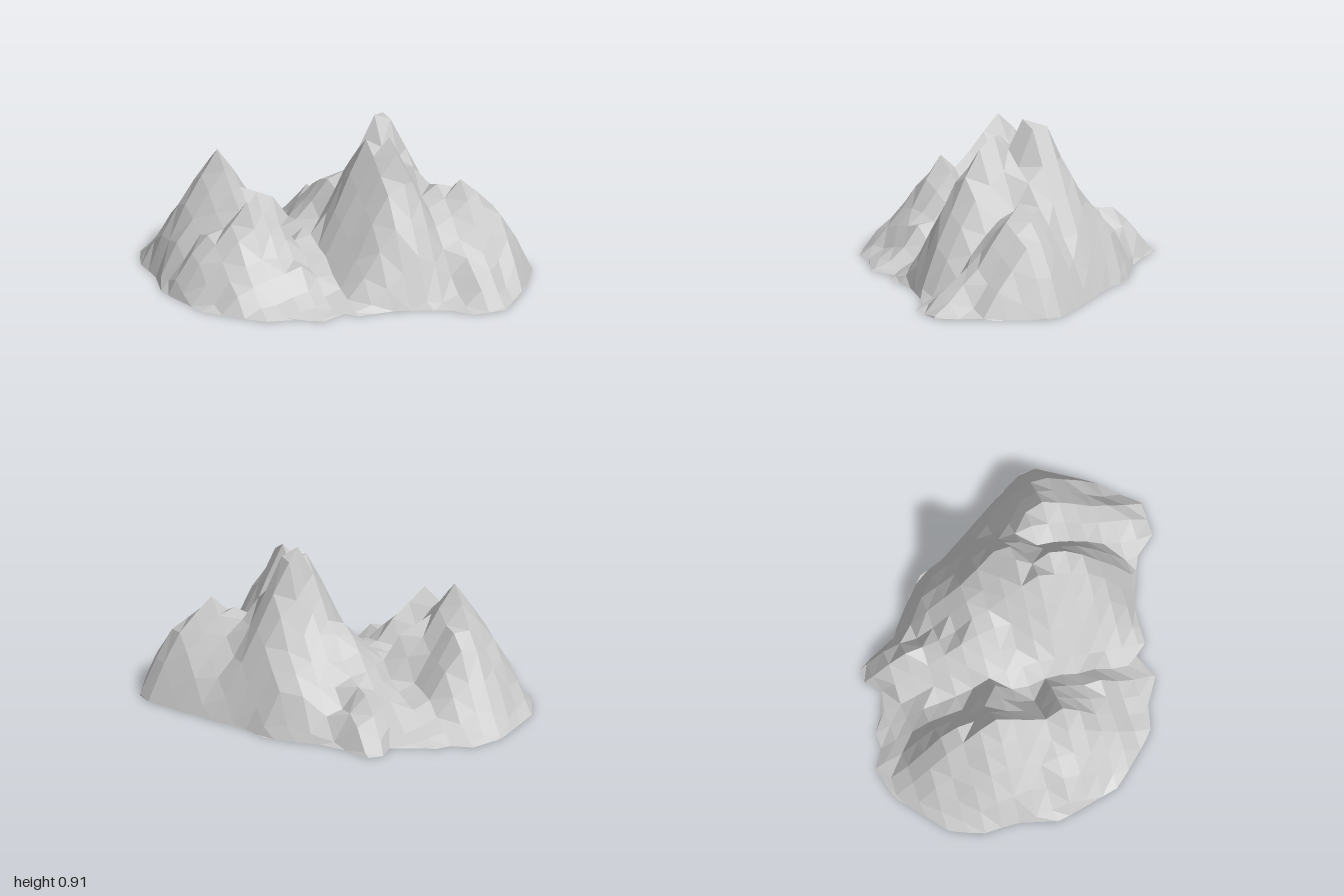
import * as THREE from 'three';

// Footprint on the ground, [x, z] going round
const OUTLINE = [
  [-.37, -.96], [-.27, -.89], [-.17, -.89], [.03, -.75], [.13, -.85], [.22, -.84],
  [.32, -.62], [.52, -.45], [.62, -.35], [.67, -.2], [.91, .2],
  [1, .37], [1, .46], [.91, .6], [.82, .74], [.7, .85], [.62, .95],
  [.42, .94], [.38, .85], [.22, .77], [.03, .7], [-.17, .69], [-.27, .56], [-.37, .68],
  [-.56, .56], [-.67, .55], [-.92, .27], [-1, -.1], [-.93, -.33],
  [-.93, -.53], [-.85, -.7], [-.56, -.92],
];

// Crest lines as [x, height, z], each falling away at its own slope
const RIDGES = [
  { slope: 2, pts: [[.2, .81, .38], [.2, .89, .27], [.14, .85, .17], [.22, .91, .07], [.32, .87, .07], [.32, .89, -.02]] }, // main summit
  { slope: 1.25, pts: [[.42, .5, -.12], [.3, .54, -.2], [.08, .56, -.15], [.03, .42, -.3], [.13, .28, -.62], [.15, .12, -.78]] }, // back spur
  { slope: 1.3, pts: [[.43, .5, .1], [.61, .58, .36], [.72, .49, .4], [.85, .25, .42]] },    // east peak
  { slope: 1.3, pts: [[.61, .56, .38], [.56, .27, .67], [.55, .12, .88]] },                  // front foot
  { slope: 1.6, pts: [[-.5, .55, -.54], [-.56, .7, -.32], [-.37, .5, -.25], [-.17, .3, -.2]] }, // west peak
  { slope: 1.3, pts: [[-.56, .6, -.22], [-.57, .46, -.03]] },                                // west col
  { slope: 1.4, pts: [[-.75, .37, 0], [-.56, .53, .07], [-.37, .4, .1]] },                   // west front crest
  { slope: 1.1, pts: [[-.65, .25, .25], [-.38, .27, .3]] },                                  // lower step
  { slope: .7, pts: [[-.2, .08, .42], [-.17, .25, .1], [-.15, .3, -.15], [-.05, .06, -.7]] }, // valley floor
];

// Position (0..1) of the point on segment a-b nearest to x, z
function nearestT(x, z, ax, az, bx, bz) {
  const dx = bx - ax, dz = bz - az;
  return THREE.MathUtils.clamp(((x - ax) * dx + (z - az) * dz) / (dx * dx + dz * dz), 0, 1);
}

// Nearest outline point, distance to it, and whether x, z is inside
function footprint(x, z) {
  let best = { d: Infinity }, inside = false;
  OUTLINE.forEach(([ax, az], i) => {
    const [bx, bz] = OUTLINE[(i + 1) % OUTLINE.length];
    const t = nearestT(x, z, ax, az, bx, bz);
    const px = ax + (bx - ax) * t, pz = az + (bz - az) * t;
    const d = Math.hypot(x - px, z - pz);
    if (d < best.d) best = { d, px, pz };
    if ((az > z) !== (bz > z) && x < ax + (bx - ax) * (z - az) / (bz - az)) inside = !inside;
  });
  return { ...best, inside };
}

function height(x, z, edge) {
  let h = Math.min(.5 * edge, .14);
  for (const { slope, pts } of RIDGES) {
    for (let i = 0; i < pts.length - 1; i++) {
      const [ax, ay, az] = pts[i], [bx, by, bz] = pts[i + 1];
      const t = nearestT(x, z, ax, az, bx, bz);
      const d = Math.hypot(x - ax - (bx - ax) * t, z - az - (bz - az) * t);
      h = Math.max(h, ay + (by - ay) * t - slope * d);
    }
  }
  // small repeatable roughness below the summit
  const s = Math.sin(x * 127.1 + z * 311.7) * 43758.5;
  const rough = h < .68 ? (s - Math.floor(s) - .5) * .025 : 0;
  return Math.max(.01, Math.min(h + rough, 2.5 * edge));
}

export function createModel() {
  const STEP = .0972, X0 = .22 - 14 * STEP, Z0 = .07 - 12 * STEP, N = 24;

  // Square grid; points outside are pulled in to the footprint's edge
  const grid = [];
  for (let j = 0; j < N; j++) {
    for (let i = 0; i < N; i++) {
      const x = X0 + i * STEP, z = Z0 + j * STEP;
      const f = footprint(x, z);
      grid.push(f.inside
        ? { inside: true, p: [x, height(x, z, f.d), z] }
        : { inside: false, p: [f.px, 0, f.pz] });
    }
  }

  const slopes = [], base = [];
  const addTriangle = (a, b, c) => {
    const area = (b[2] - a[2]) * (c[0] - a[0]) - (b[0] - a[0]) * (c[2] - a[2]);
    if (area < 1e-7) return;
    // leave the notches in the footprint open
    const onGround = a[1] + b[1] + c[1] === 0;
    if (onGround && !footprint((a[0] + b[0] + c[0]) / 3, (a[2] + b[2] + c[2]) / 3).inside) return;
    slopes.push(...a, ...b, ...c);
    for (const q of [a, c, b]) base.push(q[0], 0, q[2]);
  };
  for (let j = 0; j < N - 1; j++) {
    for (let i = 0; i < N - 1; i++) {
      const k = j * N + i;
      const quad = [grid[k], grid[k + N], grid[k + N + 1], grid[k + 1]];
      if (!quad.some(v => v.inside)) continue;
      const [a, b, c, d] = quad.map(v => v.p);
      // split along the flatter diagonal
      if (Math.abs(a[1] - c[1]) < Math.abs(b[1] - d[1])) {
        addTriangle(a, b, c);
        addTriangle(a, c, d);
      } else {
        addTriangle(a, b, d);
        addTriangle(b, c, d);
      }
    }
  }

  const material = new THREE.MeshStandardMaterial({ color: 0xcccccc, flatShading: true });
  const group = new THREE.Group();
  group.name = 'mountain';
  const addPart = (name, positions) => {
    const geometry = new THREE.BufferGeometry();
    geometry.setAttribute('position', new THREE.Float32BufferAttribute(positions, 3));
    geometry.computeVertexNormals();
    const mesh = new THREE.Mesh(geometry, material);
    mesh.name = name;
    group.add(mesh);
  };
  addPart('slopes', slopes);
  addPart('base', base);
  return group;
}
